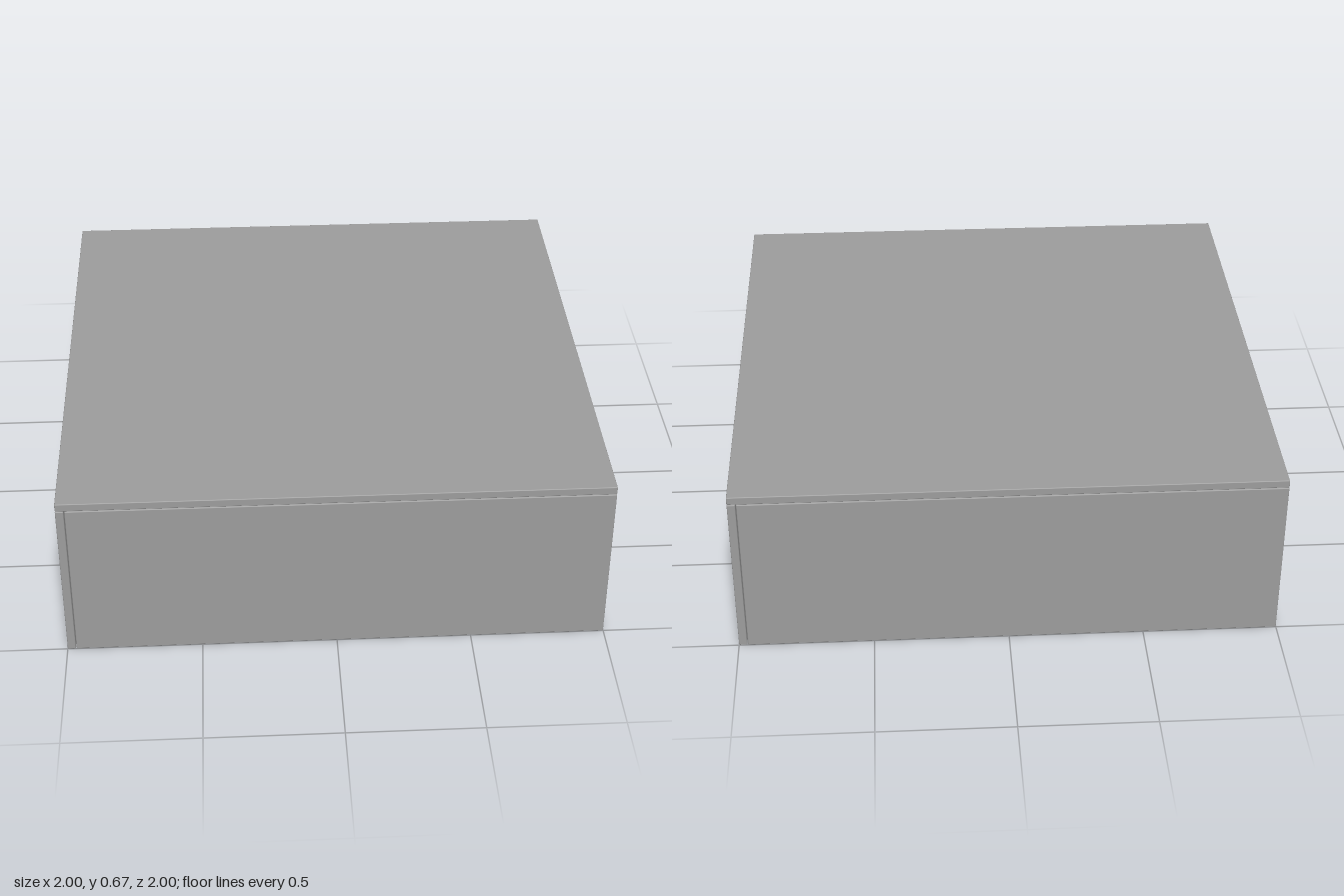
import * as THREE from 'three';
import { RoundedBoxGeometry } from 'three/addons/geometries/RoundedBoxGeometry.js';

const HEIGHT = 0.665;  // overall height
const BOARD = 0.03;    // board thickness
const GAP = 0.003;     // joint between boards
const BEVEL = 0.003;   // eased board edges
const CORE = 0.663;    // half width of the inner core

export function createModel() {
  const model = new THREE.Group();
  const color = 0x9c9c9c;
  const material = new THREE.MeshStandardMaterial({ color });
  const sheetMaterial = new THREE.MeshStandardMaterial({ color, side: THREE.DoubleSide });

  function add(name, geometry, mat, x, y, z, parent) {
    const mesh = new THREE.Mesh(geometry, mat);
    mesh.name = name;
    mesh.position.set(x, y, z);
    parent.add(mesh);
  }

  const board = (w, h, d) => new RoundedBoxGeometry(w, h, d, 1, BEVEL);

  // Flat lid over the whole footprint
  add('topBoard', board(2, BOARD, 2), material, 0, HEIGHT - BOARD / 2, 0, model);

  // Each side board overlaps the end of the next one, pinwheel fashion
  const sideHeight = HEIGHT - BOARD - GAP;
  const sideLength = 2 - BOARD - GAP;
  const sideGeometry = board(sideLength, sideHeight, BOARD);

  // Thin inner core, open at the bottom and closed by the lid
  const coreHeight = HEIGHT - BOARD;
  const coreGeometry = new THREE.PlaneGeometry(CORE * 2, coreHeight);

  ['front', 'left', 'back', 'right'].forEach((side, i) => {
    const group = new THREE.Group();
    group.name = side + 'Side';
    group.rotation.y = i * Math.PI / 2;
    add(side + 'Board', sideGeometry, material, 1 - sideLength / 2, sideHeight / 2, 1 - BOARD / 2, group);
    add(side + 'CoreWall', coreGeometry, sheetMaterial, 0, coreHeight / 2, CORE, group);
    model.add(group);
  });

  return model;
}
